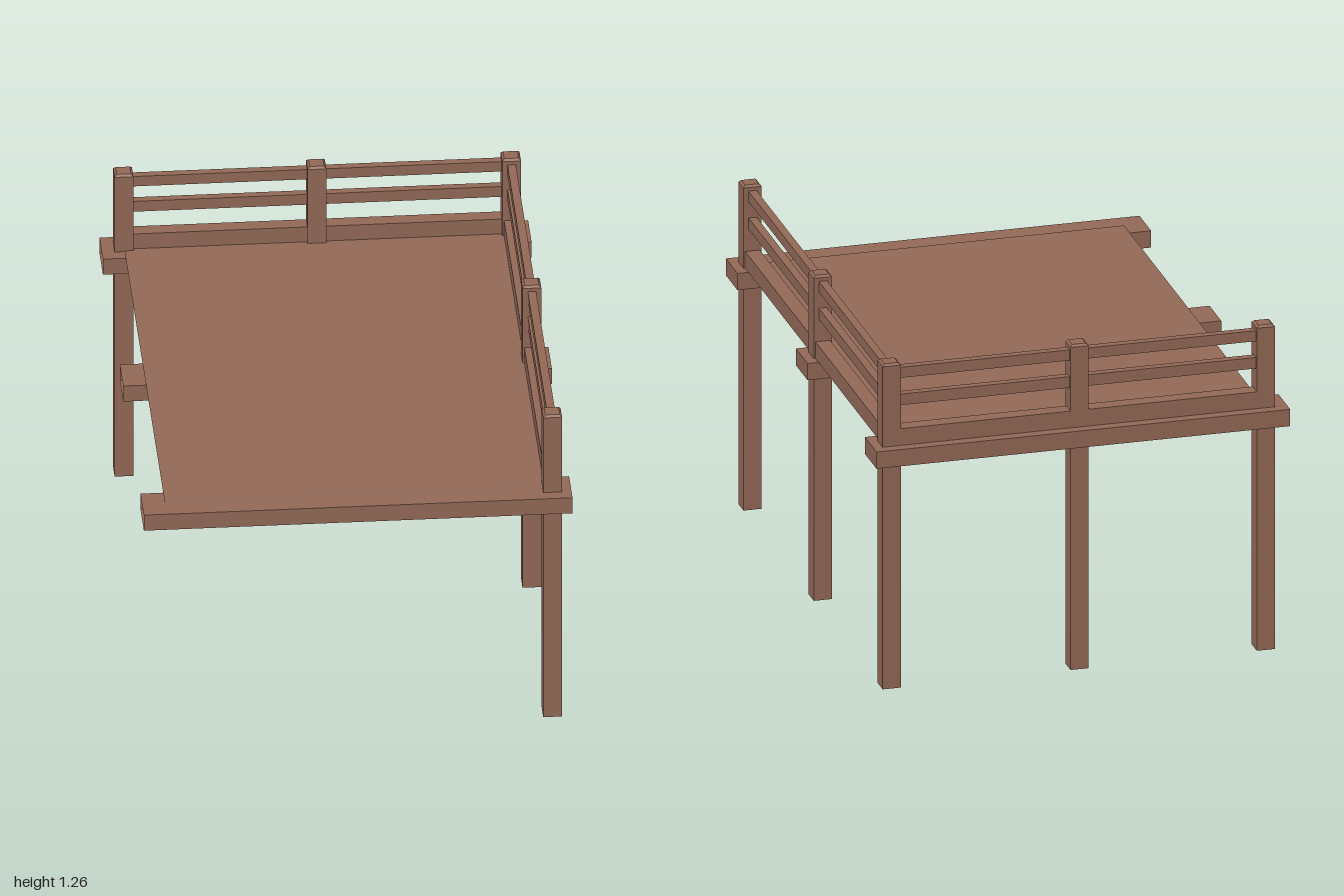
import * as THREE from 'three';

export function createModel() {
  const model = new THREE.Group();
  model.name = 'raisedDeck';
  const wood = new THREE.MeshStandardMaterial({ color: 0x946a58, flatShading: true, side: THREE.DoubleSide });
  wood.name = 'brownWood';

  const add = (name, geometry, x, y, z) => {
    const mesh = new THREE.Mesh(geometry, wood);
    mesh.name = name;
    mesh.position.set(x, y, z);
    model.add(mesh);
    return mesh;
  };

  // Square post: open at the foot, chamfered at the top
  const half = 0.034, height = 1.26, chamfer = 0.008;
  const profile = [[half, 0], [half, height - chamfer], [half - chamfer, height], [0, height]]
    .map(([r, y]) => new THREE.Vector2(r * Math.SQRT2, y));
  const postGeometry = new THREE.LatheGeometry(profile, 4, Math.PI / 4);

  // Posts follow the back edge and the +x edge
  const xs = [-0.697, 0.003, 0.709];
  const zs = [-0.926, -0.012, 0.92];
  for (const x of xs) add('post', postGeometry, x, 0, zs[0]);
  for (const z of zs.slice(1)) add('post', postGeometry, xs[2], 0, z);

  // Cross beams, hollow at the -x end
  const beamGeometry = new THREE.BoxGeometry(1.555, 0.065, 0.155);
  const index = Array.from(beamGeometry.index.array);
  index.splice(6, 6);
  beamGeometry.setIndex(index);
  beamGeometry.clearGroups();
  for (const z of [-0.922, -0.008, 0.922]) add('crossBeam', beamGeometry, 0, 0.9075, z);

  // Thin deck surface lying on the beams
  const floor = new THREE.PlaneGeometry(1.415, 1.845).rotateX(-Math.PI / 2);
  add('deckFloor', floor, 0.0125, 0.943, -0.0075);

  // Kick board and two rails in every bay: [name, centre y, height, thickness]
  const rails = [
    ['kickBoard', 0.9725, 0.065, 0.055],
    ['middleRail', 1.1125, 0.043, 0.03],
    ['topRail', 1.2175, 0.041, 0.03],
  ];
  for (const [name, y, h, t] of rails) {
    for (let i = 0; i < 2; i++) {
      const lx = xs[i + 1] - xs[i], lz = zs[i + 1] - zs[i];
      add(name, new THREE.BoxGeometry(lx, h, t), xs[i] + lx / 2, y, -0.932);
      add(name, new THREE.BoxGeometry(t, h, lz), 0.709, y, zs[i] + lz / 2);
    }
  }
  return model;
}
